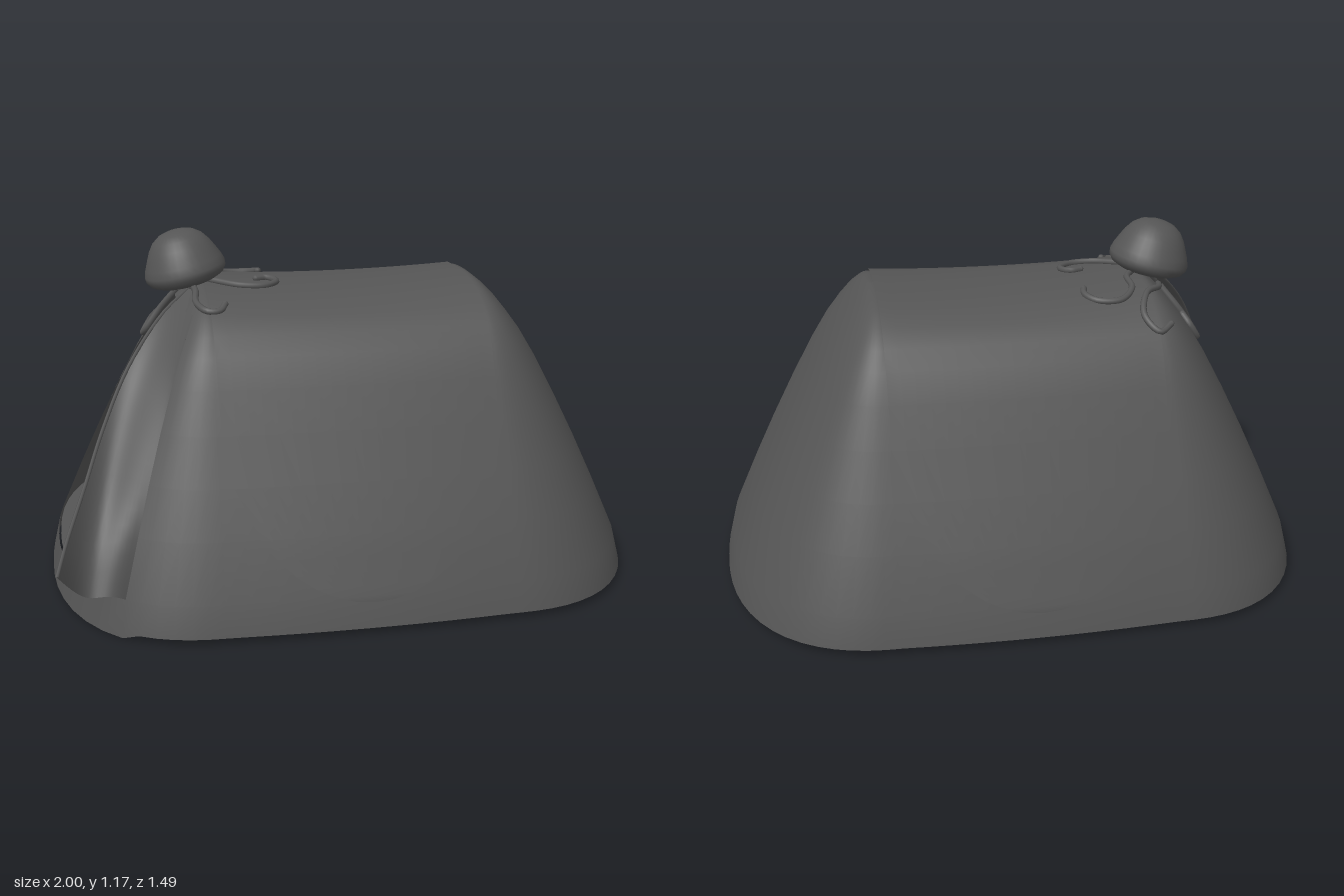
import * as THREE from 'three';
import { RoundedBoxGeometry } from 'three/addons/geometries/RoundedBoxGeometry.js';

const RIDGE = 0.45;    // half length of the straight middle of the tent
const ROUND = 2.4;     // squareness of the rounded ends
const END_ANGLE = 1.2; // share of each quarter turn spent on the rounded end
// Tent profile rows: height, half length, half width
const ROWS = [
  [0.02, 1, 0.745], [0.12, 0.975, 0.72], [0.3, 0.895, 0.65], [0.45, 0.825, 0.585],
  [0.6, 0.75, 0.517], [0.73, 0.68, 0.46], [0.82, 0.625, 0.412], [0.88, 0.58, 0.365],
  [0.93, 0.54, 0.3], [0.965, 0.505, 0.23], [0.985, 0.48, 0.14], [0.993, 0.465, 0],
];
const DOOR_BACK = -Math.PI + 0.25, DOOR_FRONT = Math.PI - 0.73;

const DARK = 0x555555;
const material = new THREE.MeshStandardMaterial({ color: DARK });
const cloth = new THREE.MeshStandardMaterial({ color: DARK, side: THREE.DoubleSide });

function sizeAt(y) {
  let i = 0;
  while (i < ROWS.length - 2 && y > ROWS[i + 1][0]) i++;
  const [a, b] = [ROWS[i], ROWS[i + 1]];
  const k = (y - a[0]) / (b[0] - a[0]);
  return [a[1] + (b[1] - a[1]) * k, a[2] + (b[2] - a[2]) * k];
}

// The ridge sags a little in the middle
const sag = (x, y) => y - 0.015 * Math.max(0, 1 - (x / RIDGE) ** 2) * THREE.MathUtils.smoothstep(y, 0.85, 0.99);

// Half width of the tent at a given x and height
function halfWidth(x, y) {
  const [L, W] = sizeAt(y), ax = Math.abs(x);
  if (ax <= RIDGE) return W * (1 - 0.02 * (ax / RIDGE) ** 2);
  return 0.98 * W * Math.max(0, 1 - ((ax - RIDGE) / (L - RIDGE)) ** ROUND) ** (1 / ROUND);
}

// Point on the tent wall: straight sides joined by rounded ends
function ringPoint(a, y) {
  const [L, W] = sizeAt(y);
  const c = Math.cos(a), s = Math.sin(a);
  const e = Math.atan2(Math.abs(s), Math.abs(c));
  let x, z;
  if (e < END_ANGLE) {
    const b = e / END_ANGLE * Math.PI / 2, cb = Math.cos(b), sb = Math.sin(b);
    const r = (cb ** ROUND + sb ** ROUND) ** (-1 / ROUND);
    x = RIDGE + (L - RIDGE) * r * cb;
    z = 0.98 * W * r * sb;
  } else {
    x = RIDGE * (Math.PI / 2 - e) / (Math.PI / 2 - END_ANGLE);
    z = halfWidth(x, y);
  }
  return new THREE.Vector3(x * Math.sign(c), sag(x, y), z * Math.sign(s));
}

function roofHeight(x, z) {
  let lo = 0.02, hi = 0.993;
  for (let i = 0; i < 30; i++) {
    const y = (lo + hi) / 2;
    if (Math.abs(x) < sizeAt(y)[0] && halfWidth(x, y) > Math.abs(z)) lo = y; else hi = y;
  }
  return sag(x, lo);
}

// Surface from a point rule on a grid, with optional cells left open
function grid(nu, nv, point, open = () => false) {
  const pos = [], index = [];
  for (let j = 0; j <= nv; j++)
    for (let i = 0; i <= nu; i++) pos.push(...point(i, j).toArray());
  for (let j = 0; j < nv; j++)
    for (let i = 0; i < nu; i++) {
      if (open(i, j)) continue;
      const a = j * (nu + 1) + i, b = a + 1, c = a + nu + 1, d = c + 1;
      index.push(a, c, b, b, c, d);
    }
  const g = new THREE.BufferGeometry();
  g.setAttribute('position', new THREE.Float32BufferAttribute(pos, 3));
  g.setIndex(index);
  g.computeVertexNormals();
  return g;
}

export function createModel() {
  const group = new THREE.Group();
  const add = (name, geometry, mat = material) => {
    const mesh = new THREE.Mesh(geometry, mat);
    mesh.name = name;
    group.add(mesh);
    return mesh;
  };

  // Tent wall: the last columns cross the doorway
  const wallCols = 72, doorCols = 10;
  const angle = (i) => i <= wallCols
    ? THREE.MathUtils.lerp(DOOR_BACK, DOOR_FRONT, i / wallCols)
    : THREE.MathUtils.lerp(DOOR_FRONT, DOOR_BACK + 2 * Math.PI, (i - wallCols) / doorCols);
  add('tentWall', grid(wallCols + doorCols, ROWS.length - 1, (i, j) => {
    const p = ringPoint(angle(i), ROWS[j][0]);
    // The threshold dips toward the front corner of the doorway
    if (j === 0 && i >= wallCols) p.y -= 0.02 * (1 - (i - wallCols) / doorCols);
    return p;
  }, (i, j) => i >= wallCols && j >= 1 && j < 8), cloth);

  // Overlay panel running over the roof, with a rounded end on each side
  const levels = [0.1, 0.105, 0.12, 0.15, 0.19, 0.24, ...ROWS.slice(2).map((r) => r[0])];
  const top = levels.length - 1;
  add('roofPanel', grid(20, top * 2, (i, j) => {
    const side = j <= top ? 1 : -1;
    const y = levels[top - Math.abs(j - top)];
    const half = RIDGE * Math.sqrt(1 - (Math.max(0, 0.65 - y) / 0.55) ** 2);
    const x = half * (i / 10 - 1);
    const lift = 0.005 * THREE.MathUtils.smoothstep(y, 0.6, 0.95);
    const out = j === top ? 0 : 0.004;
    return new THREE.Vector3(x, sag(x, y) + lift, side * (halfWidth(x, y) + out));
  }), cloth);

  // Raised floor, seen from below inside the hem
  const outline = [];
  for (let i = 0; i < 72; i++) {
    const p = ringPoint((i + 0.5) / 72 * Math.PI * 2, 0.12);
    outline.push(new THREE.Vector2(p.x, p.z).multiplyScalar(0.993));
  }
  const floor = add('floor', new THREE.ShapeGeometry(new THREE.Shape(outline)), cloth);
  floor.rotation.x = Math.PI / 2;
  floor.position.y = 0.12;

  // Sleeping mat set into the floor
  const mat = add('sleepingMat', new RoundedBoxGeometry(0.94, 0.05, 0.42, 2, 0.015));
  mat.position.set(0.06, 0.137, -0.32);
  mat.rotation.y = -0.23;

  // Door flap pulled aside: from the wall edge out to a free edge
  const freeEdge = new THREE.CatmullRomCurve3([
    [-0.5, 0.975, 0.05], [-0.6, 0.91, 0.15], [-0.72, 0.77, 0.27], [-0.81, 0.6, 0.37],
    [-0.875, 0.45, 0.47], [-0.94, 0.32, 0.61], [-0.97, 0.25, 0.69],
  ].map((p) => new THREE.Vector3(...p)));
  add('doorFlap', grid(14, 20, (i, j) => {
    const u = i / 14, v = j / 20;
    const p = ringPoint(DOOR_FRONT, 0.97 - 0.85 * v).lerp(freeEdge.getPoint(v), u);
    // Soft fold that sinks inward close to the free edge
    const fold = 0.085 * Math.sin(u * u * Math.PI) * v * v;
    return p.add(new THREE.Vector3(fold * 0.2, -fold * 0.8, -fold * 0.6));
  }), cloth);
  // Stitched hem of the flap
  add('flapHem', new THREE.TubeGeometry(freeEdge, 24, 0.006, 6));

  // Jellyfish ornament: bell with a rounded rim and a bulging underside
  const bell = add('jellyfishBell', new THREE.LatheGeometry([
    [0, -0.025], [0.06, -0.022], [0.1, -0.014], [0.125, -0.002], [0.137, 0.015], [0.138, 0.032],
    [0.13, 0.056], [0.117, 0.084], [0.104, 0.11], [0.085, 0.136], [0.06, 0.154], [0.03, 0.163], [0, 0.165],
  ].map((p) => new THREE.Vector2(...p)), 32));
  bell.position.set(-0.5, 1.002, 0);
  bell.rotation.z = 0.22;

  // Curled tentacles lying on the roof, as x,z paths
  const tentacles = [
    [[-0.52, -0.08], [-0.5, -0.15], [-0.44, -0.22], [-0.41, -0.31], [-0.45, -0.36], [-0.495, -0.33]],
    [[-0.45, -0.03], [-0.405, -0.09], [-0.4, -0.18], [-0.35, -0.24], [-0.27, -0.235], [-0.235, -0.19], [-0.24, -0.155]],
    [[-0.46, 0.02], [-0.4, 0.07], [-0.33, 0.115], [-0.25, 0.115], [-0.205, 0.06], [-0.23, 0.015], [-0.27, 0.025]],
    [[-0.49, 0.06], [-0.485, 0.14], [-0.49, 0.22], [-0.46, 0.28], [-0.42, 0.28], [-0.4, 0.25]],
    [[-0.53, 0.08], [-0.58, 0.12], [-0.64, 0.15], [-0.67, 0.19], [-0.63, 0.19], [-0.6, 0.15]],
    [[-0.53, -0.07], [-0.59, -0.1], [-0.64, -0.11], [-0.65, -0.14], [-0.62, -0.15], [-0.6, -0.12]],
  ];
  for (const path of tentacles) {
    const curve = new THREE.CatmullRomCurve3(
      path.map(([x, z]) => new THREE.Vector3(x, roofHeight(x, z) + 0.011, z)));
    add('tentacle', new THREE.TubeGeometry(curve, 32, 0.011, 8));
    const tip = add('tentacleTip', new THREE.SphereGeometry(0.011, 8, 6));
    tip.position.copy(curve.getPoint(1));
  }
  return group;
}
